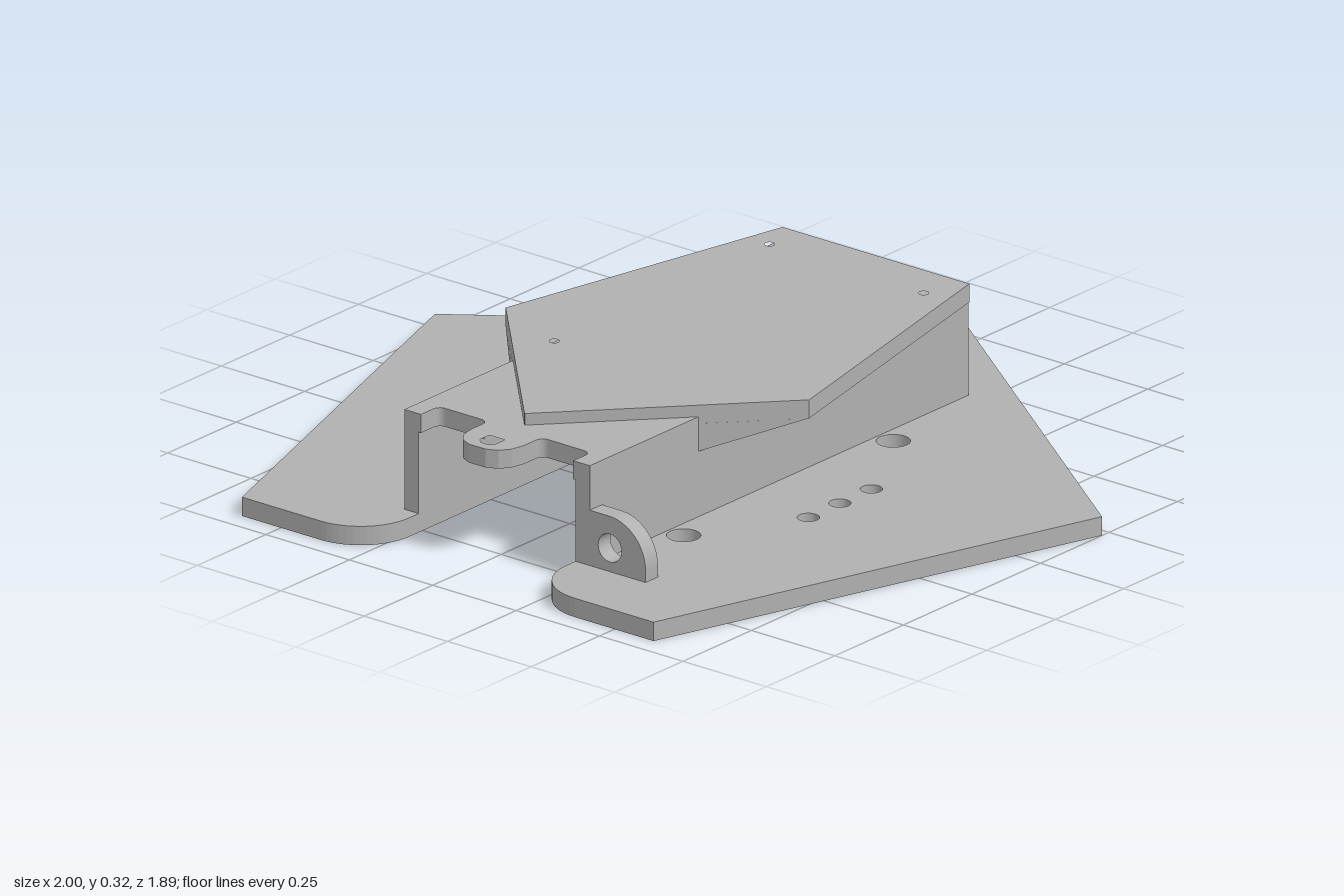
import * as THREE from 'three';

const grey = new THREE.MeshStandardMaterial({ color: 0xb0b0b0 });
grey.name = 'grey plastic';

function circle(x, y, r) {
  const p = new THREE.Path();
  p.absarc(x, y, r, 0, Math.PI * 2, true);
  return p;
}

// Plan outline from [x, z] points
function plan(points) {
  return new THREE.Shape(points.map(([x, z]) => new THREE.Vector2(x, -z)));
}

// Raise a plan shape from height y0 to y1
function slab(name, shape, y0, y1) {
  const geo = new THREE.ExtrudeGeometry(shape, { depth: y1 - y0, bevelEnabled: false, curveSegments: 20 });
  geo.rotateX(-Math.PI / 2).translate(0, y0, 0);
  const mesh = new THREE.Mesh(geo, grey);
  mesh.name = name;
  return mesh;
}

// Points on an arc in the plan, angles in degrees
function arc(cx, cz, r, a0, a1, n = 8) {
  return Array.from({ length: n + 1 }, (_, i) => {
    const a = THREE.MathUtils.degToRad(a0 + ((a1 - a0) * i) / n);
    return [cx + r * Math.cos(a), cz + r * Math.sin(a)];
  });
}

// Close a right-hand run of points with its mirror image
const mirrored = (pts) => [...pts, ...pts.slice().reverse().map(([x, z]) => [-x, z])];

export function createModel() {
  const model = new THREE.Group();
  model.name = 'pentagonMount';

  // Pentagonal base with an open slot and rounded slot mouth
  const base = plan(mirrored([
    [0.235, -0.57], ...arc(0.38, 0.8, 0.145, 180, 90, 14), [0.617, 0.945], [1, -0.225], [0.001, -0.949],
  ]));
  for (const s of [-1, 1]) {
    for (const z of [-0.02, 0.095, 0.21]) base.holes.push(circle(s * 0.477, -z, 0.026));
    for (const z of [-0.285, 0.48]) base.holes.push(circle(s * 0.325, -z, 0.04));
  }
  model.add(slab('basePlate', base, 0, 0.047));

  // Channel walls, open to the front and below
  model.add(slab('channelWalls', plan(mirrored([
    [0.235, -0.57], [0.235, 0.765], [0.278, 0.765], [0.278, -0.617],
  ])), 0.047, 0.25));

  // Channel roof with notched front and a central tongue
  const roof = plan(mirrored([
    [0.278, -0.617], [0.278, 0.765], [0.228, 0.765],
    ...arc(0.208, 0.72, 0.02, 0, -90, 5), ...arc(0.1, 0.72, 0.02, -90, -180, 5),
    [0.08, 0.765], [0.072, 0.8], [0.053, 0.825], [0.025, 0.838],
  ]));
  const slot = [[0.023, 0.765], [0.023, 0.8], [0.01, 0.812]];
  roof.holes.push(plan(mirrored(slot)));
  model.add(slab('channelRoof', roof, 0.25, 0.296));

  // Pentagonal top plate with three pin holes
  const top = plan(mirrored([[0.28, -0.617], [0.455, 0.18], [0.001, 0.664]]));
  for (const [x, z] of [[-0.235, -0.515], [0.235, -0.505], [-0.235, 0.27]]) {
    top.holes.push(circle(x, -z, 0.012));
  }
  model.add(slab('topPlate', top, 0.279, 0.325));

  // Sloped gussets beneath the plate's overhanging sides
  for (const s of [-1, 1]) {
    const back = [s * 0.278, 0.279, -0.617];
    const tip = [s * 0.455, 0.279, 0.18];
    const inner = [s * 0.278, 0.279, 0.369];
    const low = [s * 0.278, 0.21, 0.369];
    const faces = [[back, tip, low], [tip, inner, low]];
    if (s < 0) faces.forEach((f) => f.reverse());
    const geo = new THREE.BufferGeometry();
    geo.setAttribute('position', new THREE.Float32BufferAttribute(faces.flat(2), 3));
    geo.computeVertexNormals();
    const gusset = new THREE.Mesh(geo, grey);
    gusset.name = s < 0 ? 'rightGusset' : 'leftGusset';
    model.add(gusset);
  }

  // Rounded side lug with a cross hole
  const lug = new THREE.Shape();
  lug.moveTo(0.278, 0.047);
  lug.lineTo(0.445, 0.047);
  lug.lineTo(0.445, 0.075);
  lug.absarc(0.335, 0.075, 0.11, 0, Math.PI / 2, false);
  lug.lineTo(0.278, 0.185);
  lug.holes.push(circle(0.338, 0.106, 0.035));
  const lugGeo = new THREE.ExtrudeGeometry(lug, { depth: 0.045, bevelEnabled: false, curveSegments: 20 });
  const lugMesh = new THREE.Mesh(lugGeo.translate(0, 0, 0.72), grey);
  lugMesh.name = 'sideLug';
  model.add(lugMesh);

  return model;
}
